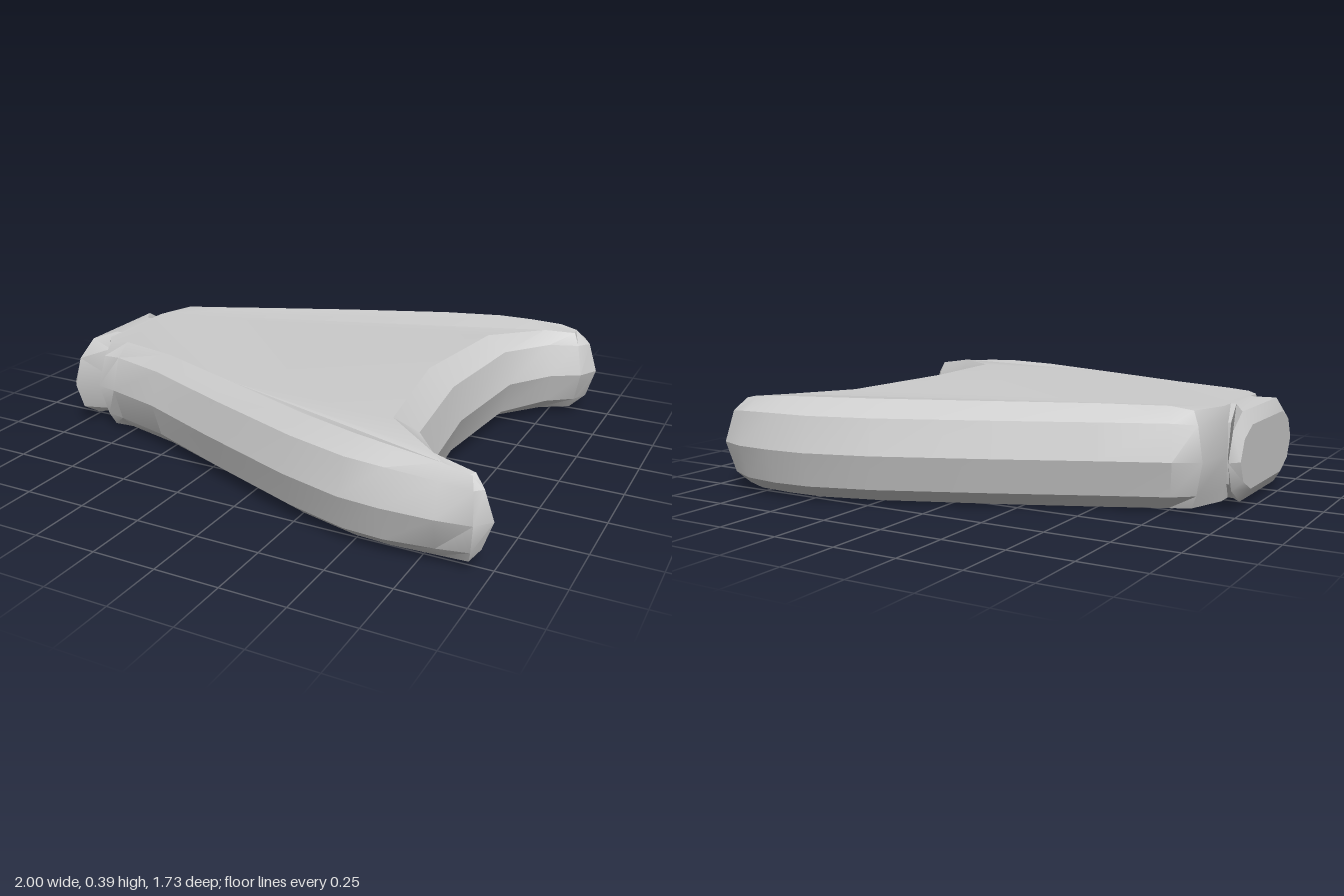
import * as THREE from 'three';
import { toCreasedNormals } from 'three/addons/utils/BufferGeometryUtils.js';

const MID = 0.196; // height of the middle ridge

// Skins a stack of closed rings and caps both ends; flat() maps a point to the cap plane.
function loft(rings, flat) {
  const pos = [];
  const tri = (...pts) => pts.forEach((p) => pos.push(p.x, p.y, p.z));
  const n = rings[0].length;
  for (let r = 0; r < rings.length - 1; r++) {
    const a = rings[r], b = rings[r + 1];
    for (let i = 0; i < n; i++) {
      const j = (i + 1) % n;
      tri(a[i], b[i], a[j]);
      tri(a[j], b[i], b[j]);
    }
  }
  const first = rings[0], last = rings[rings.length - 1];
  for (const [a, b, c] of THREE.ShapeUtils.triangulateShape(first.map(flat), [])) tri(first[a], first[b], first[c]);
  for (const [a, b, c] of THREE.ShapeUtils.triangulateShape(last.map(flat), [])) tri(last[a], last[c], last[b]);
  const geometry = new THREE.BufferGeometry();
  geometry.setAttribute('position', new THREE.Float32BufferAttribute(pos, 3));
  return toCreasedNormals(geometry, 0.5);
}

// Fin outline at mid height: x, z, inset of the flat face, half thickness at that inset
const OUTLINE = [
  [-0.91, -0.09, 0.02, 0.18], [-0.885, -0.28, 0.06, 0.18], [-0.79, -0.335, 0.10, 0.19],
  [-0.55, -0.44, 0.11, 0.194], [-0.2, -0.6, 0.12, 0.195], [0.22, -0.78, 0.13, 0.195],
  [0.47, -0.855, 0.13, 0.194], [0.63, -0.867, 0.12, 0.19], [0.78, -0.86, 0.10, 0.182],
  [0.89, -0.82, 0.09, 0.17], [0.935, -0.74, 0.10, 0.165], [0.89, -0.655, 0.07, 0.17],
  [0.78, -0.59, 0.09, 0.18], [0.655, -0.41, 0.13, 0.188], [0.61, 0.05, 0.14, 0.195],
  [0.66, 0.5, 0.13, 0.188], [0.81, 0.685, 0.07, 0.18], [0.95, 0.73, 0.045, 0.155],
  [1, 0.78, 0.09, 0.15], [0.95, 0.84, 0.05, 0.155], [0.82, 0.858, 0.08, 0.17],
  [0.63, 0.863, 0.10, 0.185], [0.47, 0.85, 0.11, 0.192], [0.22, 0.78, 0.11, 0.195],
  [-0.2, 0.62, 0.11, 0.195], [-0.55, 0.475, 0.10, 0.194], [-0.79, 0.41, 0.09, 0.19],
  [-0.88, 0.39, 0.06, 0.18], [-0.91, 0.28, 0.02, 0.18],
];

// One outline ring: level 0 is the ridge, 1 the shoulder, 2 the flat face; the sign picks the side
function finRing(level) {
  const n = OUTLINE.length;
  return OUTLINE.map(([x, z, inset, half], i) => {
    const p = OUTLINE[(i + n - 1) % n], q = OUTLINE[(i + 1) % n];
    const d1 = new THREE.Vector2(x - p[0], z - p[1]).normalize();
    const d2 = new THREE.Vector2(q[0] - x, q[1] - z).normalize();
    const t = d1.add(d2).normalize();
    const step = Math.abs(level);
    const offset = [0, Math.min(0.037, inset * 0.55), inset][step];
    const rise = [0, Math.min(0.135, half * 0.72), half][step];
    return new THREE.Vector3(x - t.y * offset, MID + Math.sign(level) * rise, z + t.x * offset);
  });
}

// Collar section, as fractions of its half width and half height
const SECTION = [[-1, 0], [-0.88, -0.65], [-0.6, -1], [0.6, -1], [0.88, -0.65],
  [1, 0], [0.88, 0.65], [0.6, 1], [-0.6, 1], [-0.88, 0.65]];

export function createModel() {
  const group = new THREE.Group();
  const material = new THREE.MeshStandardMaterial({ color: 0xcccccc });
  const add = (name, geometry) => {
    const mesh = new THREE.Mesh(geometry, material);
    mesh.name = name;
    group.add(mesh);
  };

  // Forked fin with bevelled rim
  add('tailFin', loft([-2, -1, 0, 1, 2].map(finRing), (p) => new THREE.Vector2(p.x, p.z)));

  // Flared collar on a narrow neck: x, half width, half height
  const collar = [[-1, 0.3, 0.12], [-0.967, 0.338, 0.168], [-0.912, 0.185, 0.18], [-0.86, 0.185, 0.18]];
  add('collar', loft(
    collar.map(([x, w, h]) => SECTION.map(([z, y]) => new THREE.Vector3(x, MID + y * h, 0.095 + z * w))),
    (p) => new THREE.Vector2(p.z, p.y),
  ));
  return group;
}
